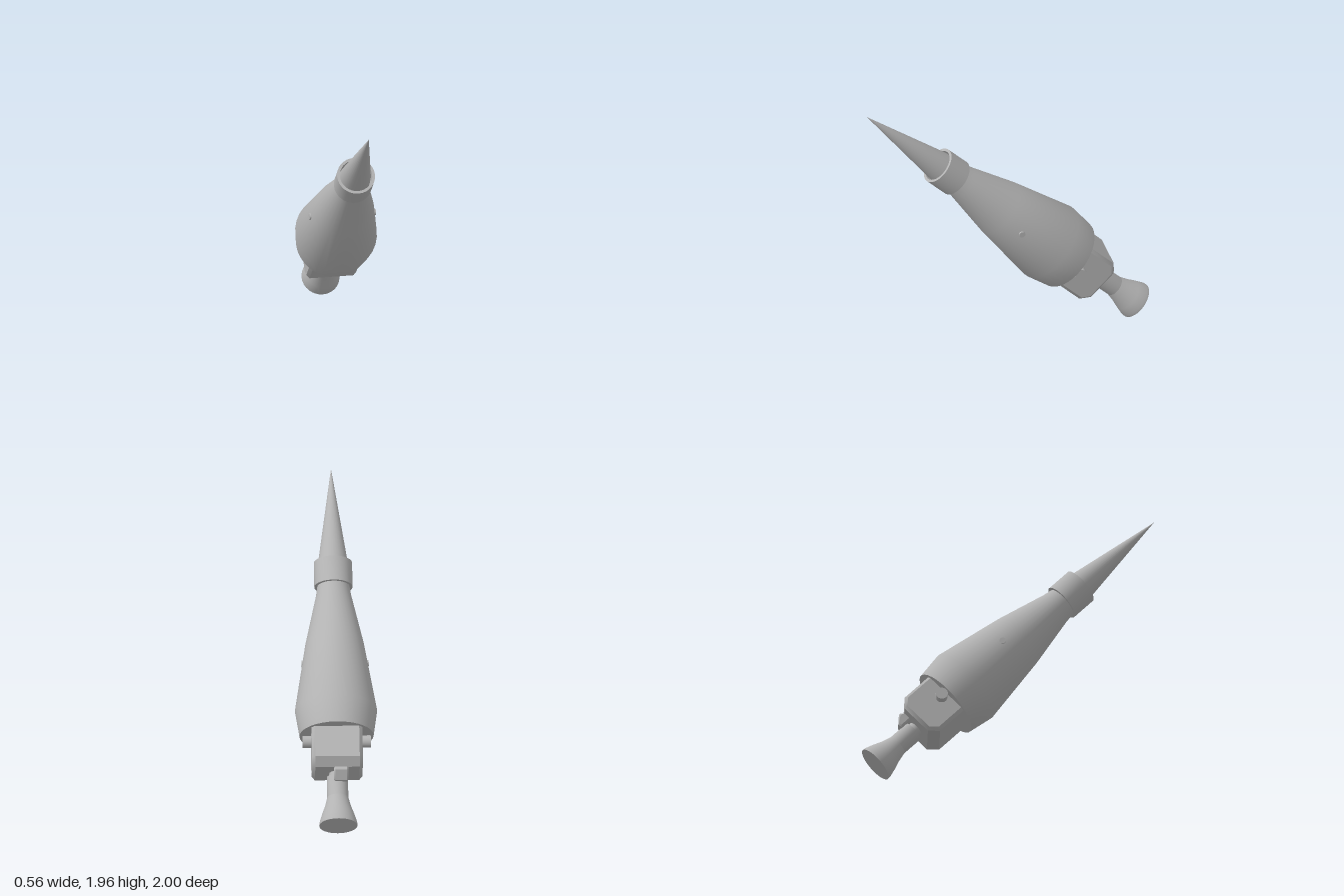
import * as THREE from 'three';
import { toCreasedNormals } from 'three/addons/utils/BufferGeometryUtils.js';

export function createModel() {
  const model = new THREE.Group();
  model.name = 'spikedProjectile';

  // Everything is built upright along y, then the assembly is tilted.
  const body = new THREE.Group();
  body.name = 'assembly';
  body.rotation.order = 'YXZ';
  body.rotation.set(0.801, 0.105, 0);
  body.position.set(-0.065, 0.093, -0.91);
  model.add(body);

  const grey = new THREE.MeshStandardMaterial({ color: 0xb3b3b3 });
  grey.name = 'plainGrey';

  const add = (name, geometry) => {
    const mesh = new THREE.Mesh(toCreasedNormals(geometry, 0.6), grey);
    mesh.name = name;
    body.add(mesh);
    return mesh;
  };
  // Turned part from [radius, height] pairs, listed bottom to top.
  const turned = (name, profile) =>
    add(name, new THREE.LatheGeometry(profile.map(([r, y]) => new THREE.Vector2(r, y)), 32));
  // Prism across x from [back, height] pairs, with bevelled side edges.
  const prism = (name, outline, width, bevel) => {
    const shape = new THREE.Shape(outline.map(([q, y]) => new THREE.Vector2(q, y)));
    const g = new THREE.ExtrudeGeometry(shape, {
      depth: width - 2 * bevel, bevelEnabled: true, bevelSize: bevel,
      bevelOffset: -bevel, bevelThickness: bevel, bevelSegments: 1,
    });
    g.translate(0, 0, bevel - width / 2);
    g.rotateY(Math.PI / 2);
    return add(name, g);
  };
  const crossPin = (name, radius, length, y) => {
    const g = new THREE.CylinderGeometry(radius, radius, length, 20);
    g.rotateZ(Math.PI / 2);
    g.translate(0, y, 0);
    return add(name, g);
  };

  // Flared foot and its stem
  turned('flaredFoot', [
    [0, 0], [0.132, 0], [0.131, 0.02], [0.113, 0.08], [0.091, 0.14], [0.073, 0.21], [0, 0.21],
  ]);
  turned('stem', [[0, 0.2], [0.073, 0.2], [0.073, 0.36], [0, 0.36]]);
  turned('stemNeck', [[0, 0.35], [0.056, 0.35], [0.056, 0.42], [0, 0.42]]);

  // Chamfered block under the shell, with a small catch behind the stem
  prism('chamferedBlock', [
    [-0.113, 0.39], [0.119, 0.39], [0.177, 0.447], [0.177, 0.75], [-0.172, 0.75], [-0.172, 0.45],
  ], 0.35, 0.022);
  const latch = prism('catch', [
    [0.06, 0.305], [0.09, 0.305], [0.14, 0.36], [0.14, 0.37], [0.115, 0.4], [0.06, 0.4],
  ], 0.1, 0.01);
  latch.position.x = -0.025;
  crossPin('blockPin', 0.042, 0.47, 0.63);

  // Main tapered shell
  turned('shell', [
    [0, 0.673], [0.256, 0.673], [0.284, 0.86], [0.202, 1.358], [0.122, 1.72],
    [0.11, 1.8], [0, 1.8],
  ]);
  crossPin('shellPin', 0.022, 0.464, 1.215);

  // Hollow collar with the spike seated inside
  turned('collar', [
    [0, 1.788], [0.132, 1.788], [0.132, 1.968], [0.113, 1.968], [0.113, 1.9], [0, 1.9],
  ]);
  turned('spike', [[0, 1.89], [0.107, 1.89], [0.103, 1.968], [0, 2.674]]);

  return model;
}
